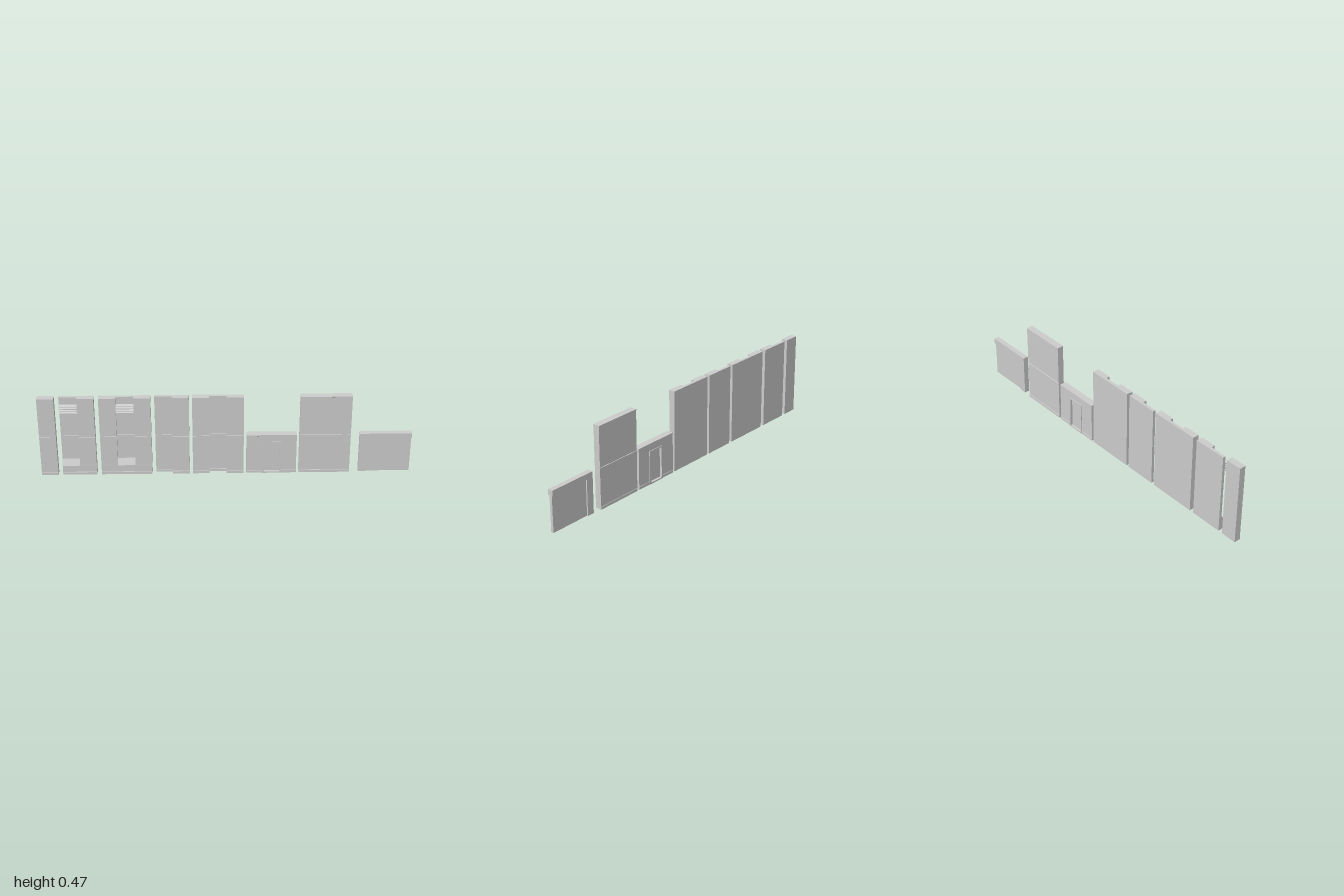
import * as THREE from 'three';

const material = new THREE.MeshStandardMaterial({ color: 0xcccccc, flatShading: true });
const FRONT = 0.0175, BACK = -0.0185, RECESS = -0.003;
const TALL = 0.465, LOW = 0.235;

function add(parent, name, geometry, x = 0, y = 0, z = 0) {
  const mesh = new THREE.Mesh(geometry, material);
  mesh.name = name;
  mesh.position.set(x, y, z);
  parent.add(mesh);
  return mesh;
}

function box(parent, name, x0, x1, y0, y1, z0, z1) {
  return add(parent, name, new THREE.BoxGeometry(x1 - x0, y1 - y0, z1 - z0),
    (x0 + x1) / 2, (y0 + y1) / 2, (z0 + z1) / 2);
}

// Sweeps a closed list of [z, y] points along x
function sweep(parent, name, points, x0, x1) {
  const shape = new THREE.Shape(points.map(([z, y]) => new THREE.Vector2(-z, y)));
  const geometry = new THREE.ExtrudeGeometry(shape, { depth: x1 - x0, bevelEnabled: false });
  geometry.rotateY(Math.PI / 2);
  return add(parent, name, geometry, x0);
}

// One face of a wall, bottom to top: skirting, seam groove, optional top lip
function facePoints(z, out, y0, height, lip) {
  const pts = [];
  if (y0 === 0) pts.push([z + out * 0.0015, 0], [z + out * 0.0015, 0.014], [z, 0.017]);
  else pts.push([z, y0]);
  if (height > 0.3) {
    pts.push([z, 0.232], [z - out * 0.003, 0.233], [z - out * 0.003, 0.237], [z, 0.238]);
  }
  if (lip) pts.push([z, height - 0.007], [z + out * 0.0015, height - 0.006], [z + out * 0.0015, height]);
  else pts.push([z, height]);
  return pts;
}

// Wall slab; twoSided repeats the front detail on the back
function slab(parent, name, x0, x1, { front = FRONT, height = TALL, y0 = 0, twoSided = false } = {}) {
  const face = facePoints(front, 1, y0, height, twoSided);
  const rear = twoSided ? facePoints(BACK, -1, y0, height, true) : [[BACK, y0], [BACK, height]];
  return sweep(parent, name, [...face, ...rear.reverse()], x0, x1);
}

// Louvres and sloping sill set into a recess
function ventBay(parent, x0, x1) {
  sweep(parent, 'slopedSill',
    [[RECESS - 0.002, 0], [FRONT + 0.0015, 0], [FRONT + 0.0015, 0.014], [FRONT, 0.017],
      [FRONT, 0.055], [RECESS, 0.09], [RECESS - 0.002, 0.09]], x0, x1);
  for (let i = 0; i < 4; i++) {
    const y = 0.375 + i * 0.0135;
    sweep(parent, 'louvre',
      [[RECESS - 0.002, y + 0.004], [0.012, y - 0.004], [0.012, y], [RECESS - 0.002, y + 0.008]], x0, x1);
  }
}

function panel(root, name) {
  const group = new THREE.Group();
  group.name = name;
  root.add(group);
  return group;
}

export function createModel() {
  const root = new THREE.Group();
  root.name = 'wallPanelSet';

  // Narrow plain pier
  slab(panel(root, 'narrowPanel'), 'pier', -1, -0.91);

  // Recessed panels: solid piers either side of a set-back bay
  const recessed = [
    { name: 'ventEndPanel', x: [-0.885, -0.885, -0.79, -0.7], vent: true },
    { name: 'ventPanel', x: [-0.675, -0.585, -0.49, -0.4], vent: true },
    { name: 'recessedEndPanel', x: [-0.38, -0.38, -0.288, -0.197] },
    { name: 'recessedPanel', x: [-0.18, -0.09, 0.003, 0.095] },
  ];
  for (const { name, x, vent } of recessed) {
    const group = panel(root, name);
    if (x[1] > x[0]) slab(group, 'rightPier', x[0], x[1]);
    slab(group, 'recess', x[1], x[2], { front: RECESS });
    slab(group, 'leftPier', x[2], x[3]);
    if (vent) ventBay(group, x[1], x[2]);
  }

  // Low panel with a framed door showing on both sides
  const door = panel(root, 'doorPanel');
  const low = { height: LOW, twoSided: true };
  slab(door, 'rightWall', 0.11, 0.2, low);
  slab(door, 'leftWall', 0.295, 0.38, low);
  slab(door, 'wallOverDoor', 0.2, 0.295, { ...low, y0: 0.19 });
  const outline = new THREE.Shape([[0.196, 0], [0.299, 0], [0.299, 0.189], [0.295, 0.193], [0.2, 0.193],
    [0.196, 0.189]].map(p => new THREE.Vector2(...p)));
  outline.holes.push(new THREE.Path([[0.205, 0.008], [0.205, 0.181], [0.208, 0.184], [0.287, 0.184],
    [0.29, 0.181], [0.29, 0.008]].map(p => new THREE.Vector2(...p))));
  add(door, 'doorFrame', new THREE.ExtrudeGeometry(outline, { depth: 0.044, bevelEnabled: false }), 0, 0, -0.0225);
  box(door, 'door', 0.2, 0.295, 0.002, 0.188, -0.009, 0.008);

  // Tall plain panel detailed on both sides
  slab(panel(root, 'tallPanel'), 'wall', 0.395, 0.67, { twoSided: true });

  // Low panel with a post, a lintel and a set-back infill
  const infill = panel(root, 'infillPanel');
  box(infill, 'post', 0.72, 0.762, 0, 0.203, -0.015, 0.015);
  box(infill, 'lintel', 0.72, 1, 0.203, LOW, -0.015, 0.015);
  box(infill, 'infill', 0.762, 0.998, 0, 0.203, -0.008, 0.008);

  return root;
}
